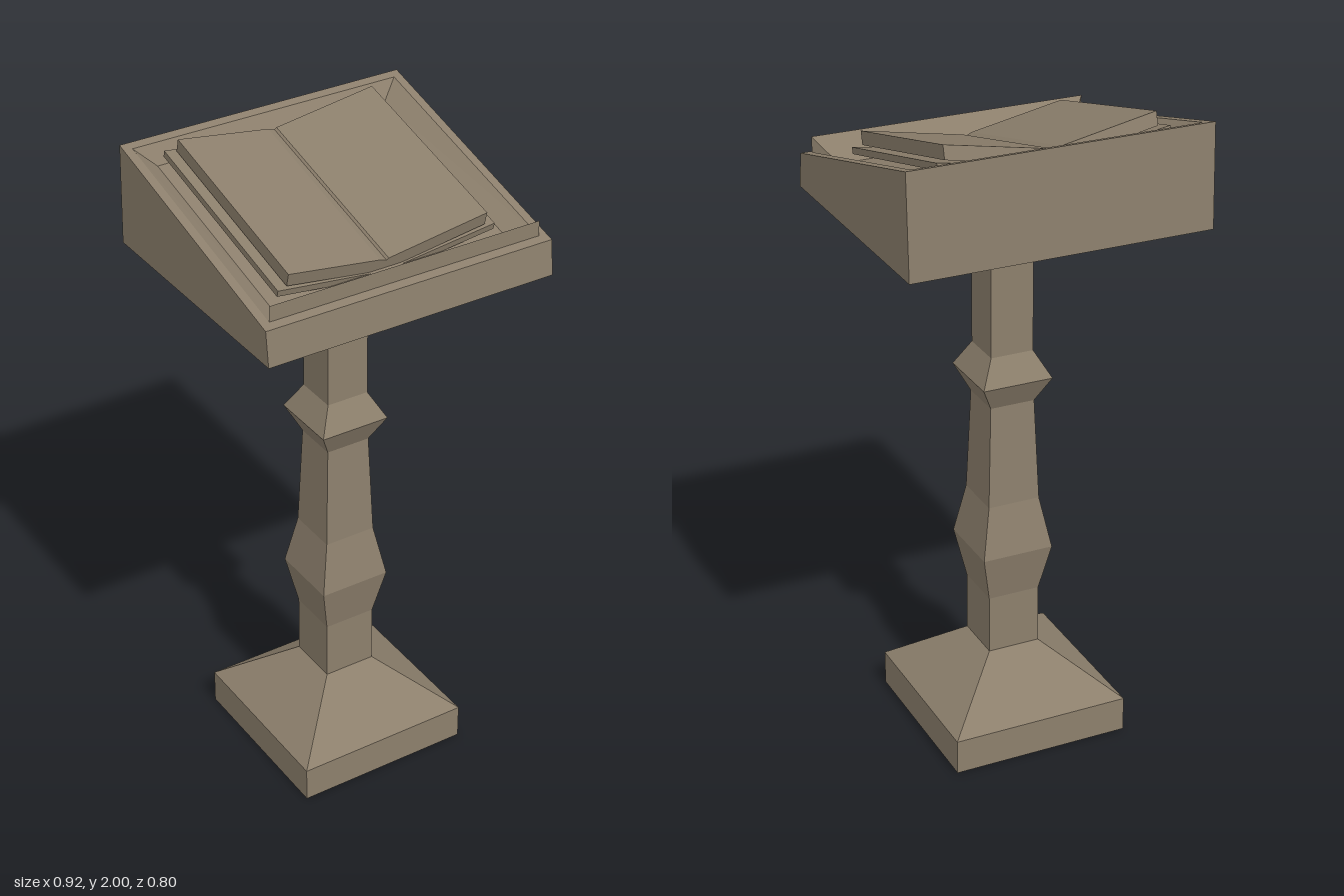
import * as THREE from 'three';
import { ConvexGeometry } from 'three/addons/geometries/ConvexGeometry.js';

const material = new THREE.MeshStandardMaterial({ color: 0x8c7f6c, flatShading: true });

function add(parent, name, geometry) {
  const mesh = new THREE.Mesh(geometry, material);
  mesh.name = name;
  parent.add(mesh);
  return mesh;
}

// Joins rectangular rings from bottom to top and caps both ends.
// Ring: [half width, front z, back z, front y, back y]
function loft(rings) {
  const corners = rings.map(([x, zf, zb, yf, yb]) => [
    [-x, yf, zf], [x, yf, zf], [x, yb, zb], [-x, yb, zb],
  ]);
  const pos = [];
  const quad = (a, b, c, d) => pos.push(...a, ...b, ...c, ...a, ...c, ...d);
  for (let r = 0; r < corners.length - 1; r++) {
    for (let i = 0; i < 4; i++) {
      const j = (i + 1) % 4;
      quad(corners[r][i], corners[r][j], corners[r + 1][j], corners[r + 1][i]);
    }
  }
  quad(...[...corners[0]].reverse());
  quad(...corners[corners.length - 1]);
  const geometry = new THREE.BufferGeometry();
  geometry.setAttribute('position', new THREE.Float32BufferAttribute(pos, 3));
  geometry.computeVertexNormals();
  return geometry;
}

const square = ([half, y]) => [half, half, -half, y, y];

// Extrudes a cross-section along z between two depths.
function slab(points, back, front) {
  const shape = new THREE.Shape(points.map(([x, y]) => new THREE.Vector2(x, y)));
  return new THREE.ExtrudeGeometry(shape, { depth: front - back, bevelEnabled: false })
    .translate(0, 0, back);
}

export function createModel() {
  const model = new THREE.Group();
  model.name = 'lectern';

  // Square foot with sloping shoulders
  add(model, 'base', loft([[0.28, 0], [0.28, 0.11], [0.082, 0.265]].map(square)));

  // Turned-style square column with two swellings
  add(model, 'column', loft([
    [0.082, 0.265], [0.082, 0.45], [0.112, 0.6], [0.082, 0.76], [0.07, 1.08],
    [0.11, 1.16], [0.067, 1.24], [0.067, 1.52],
  ].map(square)));

  // Desk: flared underside, tilted rim and sunken tray
  add(model, 'desk', loft([
    [0.067, 0.067, -0.067, 1.52, 1.52],
    [0.458, 0.4, -0.4, 1.67, 1.67],
    [0.458, 0.388, -0.388, 1.776, 1.98],
    [0.432, 0.362, -0.362, 1.783, 1.973],
    [0.375, 0.3, -0.326, 1.76, 1.92],
  ]));

  // Raised ledge along the front of the tray
  const ledge = [];
  for (const s of [-1, 1]) {
    ledge.push(
      new THREE.Vector3(s * 0.432, 1.78, 0.362),
      new THREE.Vector3(s * 0.432, 1.83, 0.362),
      new THREE.Vector3(s * 0.375, 1.76, 0.3),
    );
  }
  add(model, 'bookLedge', new ConvexGeometry(ledge));

  // Open book lying on the tilted tray
  const book = new THREE.Group();
  book.name = 'book';
  book.position.set(-0.007, 1.88, 0);
  book.rotation.x = 0.248;
  model.add(book);

  add(book, 'cover', slab([
    [-0.348, -0.018], [0, -0.07], [0.348, -0.018], [0.348, 0.002], [0, -0.05], [-0.348, 0.002],
  ], -0.332, 0.288));

  add(book, 'pages', slab([
    [-0.318, 0.004], [0, -0.052], [0.318, 0.004], [0.318, 0.045],
    [0.006, -0.011], [0, -0.017], [-0.022, -0.008], [-0.318, 0.045],
  ], -0.316, 0.282));

  return model;
}
